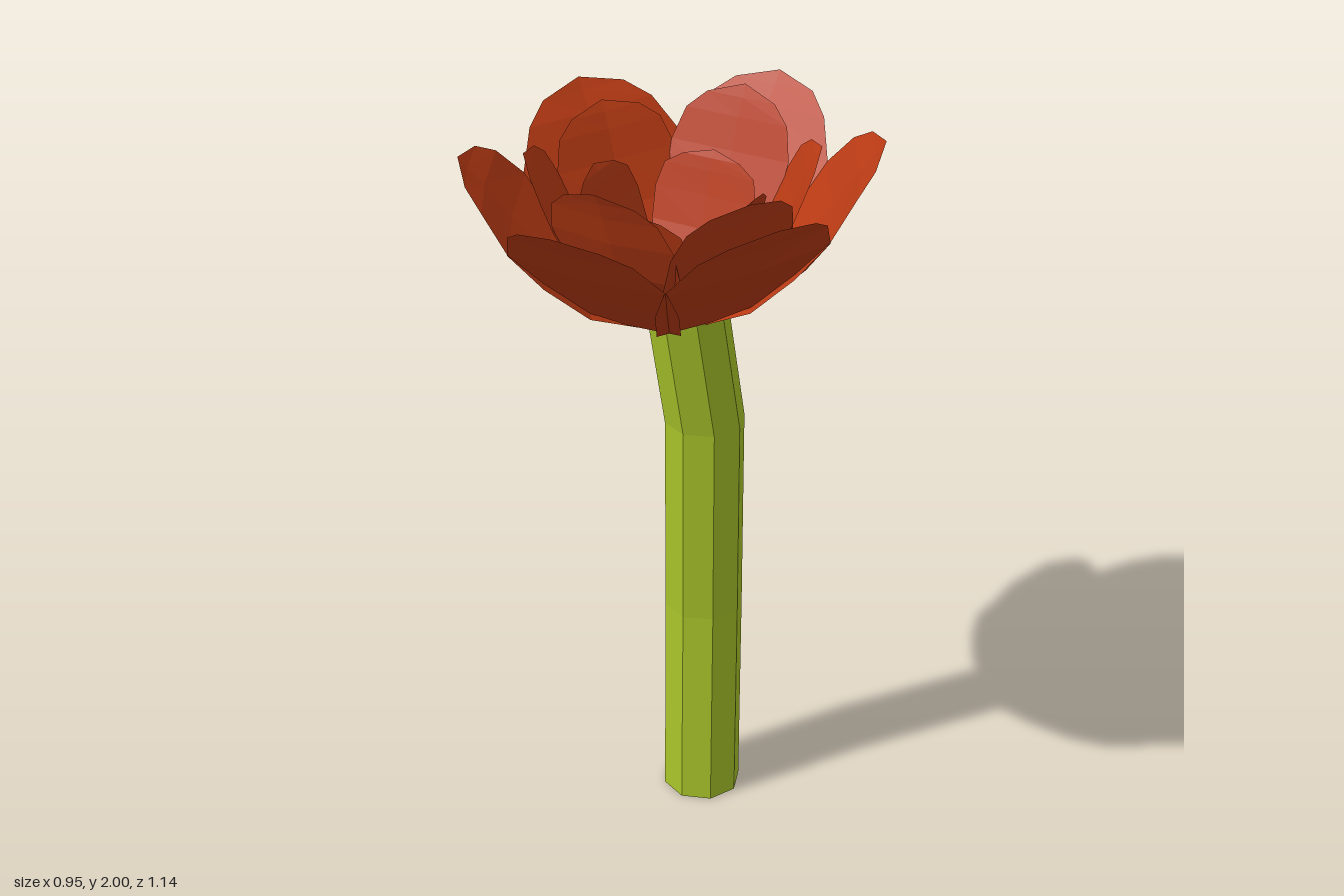
import * as THREE from 'three';

const petalMaterial = new THREE.MeshStandardMaterial({ color: 0xb83a14, flatShading: true, side: THREE.DoubleSide });
const stemMaterial = new THREE.MeshStandardMaterial({ color: 0xa8c42a, flatShading: true });

// Petal rings. Profile rows run from base to tip: [radius, height, half width].
const RINGS = [
  {
    name: 'outerPetal', count: 6, squash: 0.9, sideDrop: 0, cup: 0.02,
    profile: [[0.08, 1.505, 0.07], [0.22, 1.575, 0.16], [0.34, 1.69, 0.225], [0.43, 1.79, 0.245],
      [0.5, 1.88, 0.19], [0.543, 1.925, 0.125], [0.568, 1.955, 0]],
  },
  {
    name: 'middlePetal', count: 6, squash: 0.97, sideDrop: 0.04, cup: 0.015,
    profile: [[0.05, 1.51, 0.05], [0.16, 1.6, 0.125], [0.25, 1.72, 0.165], [0.305, 1.83, 0.175],
      [0.338, 1.91, 0.15], [0.358, 1.955, 0.1], [0.375, 1.987, 0]],
  },
  {
    name: 'innerPetal', count: 4, squash: 1.07, sideDrop: 0, cup: 0.01,
    profile: [[0.045, 1.51, 0.06], [0.1, 1.59, 0.1], [0.145, 1.68, 0.13], [0.173, 1.76, 0.135],
      [0.192, 1.82, 0.12], [0.202, 1.85, 0.075], [0.213, 1.87, 0]],
  },
];

// One cupped petal: three points per row, closing on a single tip point
function petalGeometry(ring, angle) {
  const { profile, squash, sideDrop, cup } = ring;
  const positions = [];
  const index = [];
  const sin = Math.sin(angle), cos = Math.cos(angle);
  const addPoint = (r, y, across, t) => {
    const x = (r * sin + across * cos) * squash;
    const z = r * cos - across * sin;
    // the sides sit a little lower and the back a little higher
    positions.push(x, y - sideDrop * t * Math.abs(sin) - 0.03 * z, z);
  };
  const last = profile.length - 1;
  profile.forEach(([r, y, w], i) => {
    const t = i / last;
    if (i === last) return addPoint(r, y, 0, t);
    const lift = cup * Math.sin(Math.PI * t);
    for (const s of [-1, 0, 1]) {
      addPoint(r - Math.abs(s) * lift * 0.7, y + Math.abs(s) * lift * 0.4, s * w, t);
    }
  });
  for (let i = 0; i < last; i++) {
    for (let j = 0; j < 2; j++) {
      const a = i * 3 + j;
      if (i === last - 1) index.push(a, a + 1, last * 3);
      else index.push(a, a + 1, a + 4, a, a + 4, a + 3);
    }
  }
  const geometry = new THREE.BufferGeometry();
  geometry.setAttribute('position', new THREE.Float32BufferAttribute(positions, 3));
  geometry.setIndex(index);
  geometry.computeVertexNormals();
  return geometry;
}

// Eight-sided stem whose rows are shifted to follow a bent path
function createStem() {
  const path = [[0.03, 0, -0.115], [0.026, 0.59, -0.127], [0.04, 1.17, -0.1], [0.022, 1.54, -0.03]];
  const geometry = new THREE.CylinderGeometry(0.107, 0.107, 3, 8, 3, false, -0.05);
  const p = geometry.attributes.position;
  for (let i = 0; i < p.count; i++) {
    const [x, y, z] = path[Math.round(p.getY(i) + 1.5)];
    p.setXYZ(i, p.getX(i) + x, y, p.getZ(i) + z);
  }
  geometry.computeVertexNormals();
  const stem = new THREE.Mesh(geometry, stemMaterial);
  stem.name = 'stem';
  return stem;
}

export function createModel() {
  const flower = new THREE.Group();
  flower.name = 'flower';
  flower.add(createStem());

  // Blossom
  const blossom = new THREE.Group();
  blossom.name = 'blossom';
  for (const ring of RINGS) {
    for (let k = 0; k < ring.count; k++) {
      const petal = new THREE.Mesh(petalGeometry(ring, (k / ring.count) * Math.PI * 2), petalMaterial);
      petal.name = ring.name;
      blossom.add(petal);
    }
  }
  flower.add(blossom);
  return flower;
}
